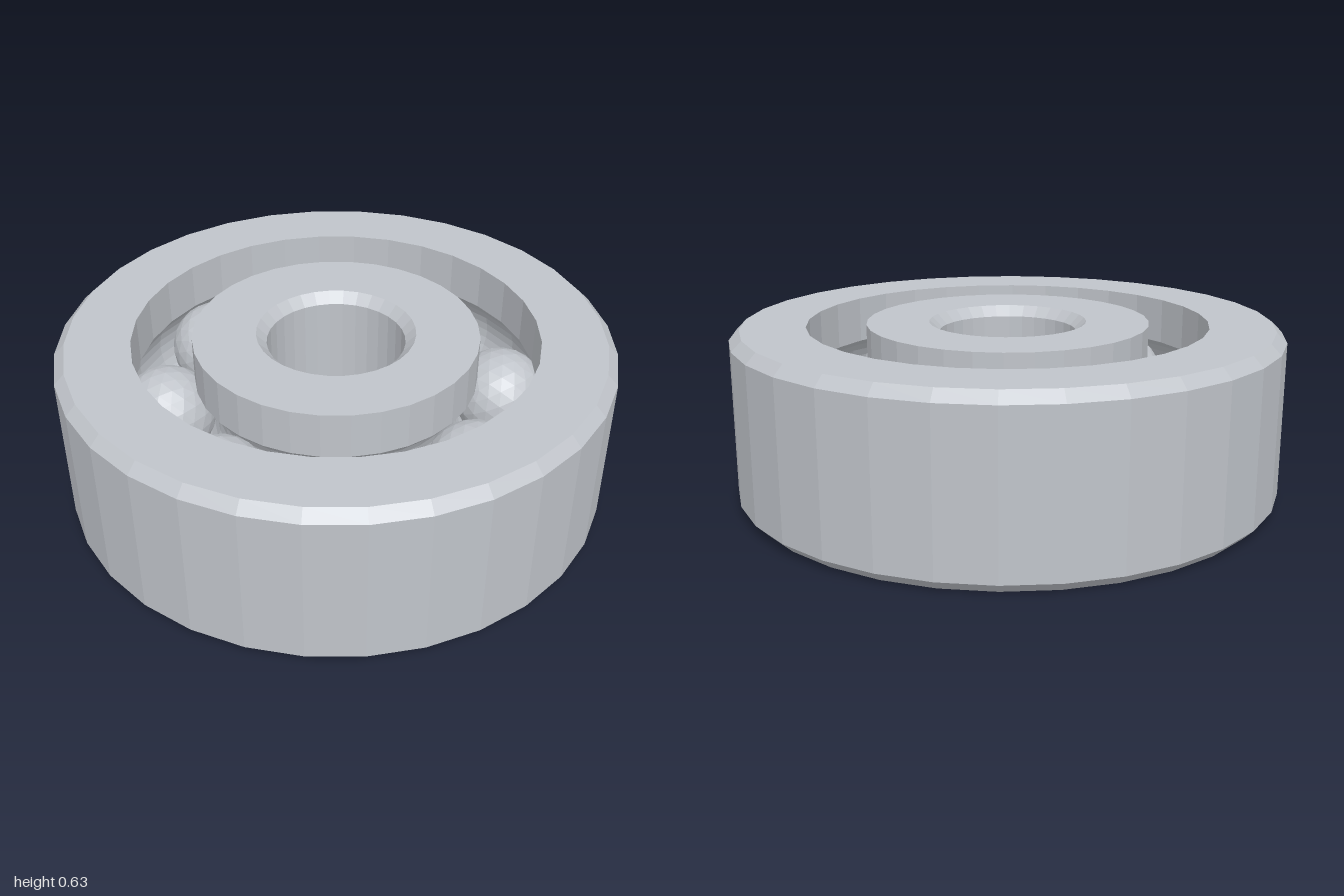
import * as THREE from 'three';

const SIDES = 32;
const HEIGHT = 0.63;
const MID = HEIGHT / 2;
const PITCH = 0.62;          // radius of the circle the balls run on
const BALL = 0.174;
const GROOVE = 0.18;
const CHAMFER = 0.037;

// Gives every triangle its own normal for a faceted look
function faceted(geometry) {
  const g = geometry.index ? geometry.toNonIndexed() : geometry;
  g.computeVertexNormals();
  return g;
}

// Points of the ball groove; wall is the radius of the wall it is cut into
function groove(wall, steps = 10) {
  const half = Math.acos(Math.abs(wall - PITCH) / GROOVE);
  const side = Math.sign(wall - PITCH);
  return Array.from({ length: steps + 1 }, (_, i) => {
    const a = side * (half - (2 * half * i) / steps);
    return [PITCH + side * GROOVE * Math.cos(a), MID + GROOVE * Math.sin(a)];
  });
}

// Revolves a closed profile, listed counter-clockwise as [radius, y]
function ring(name, profile, material) {
  const points = [...profile, profile[0]].map(([r, y]) => new THREE.Vector2(r, y));
  const mesh = new THREE.Mesh(faceted(new THREE.LatheGeometry(points, SIDES)), material);
  mesh.name = name;
  return mesh;
}

export function createModel() {
  const model = new THREE.Group();
  model.name = 'ballBearing';
  const steel = new THREE.MeshStandardMaterial({ color: 0xc0c4ca });
  steel.name = 'steel';

  // Outer ring: chamfered outside, grooved inside
  model.add(ring('outerRing', [
    [0.73, 0], [1 - CHAMFER, 0], [1, CHAMFER], [1, HEIGHT - CHAMFER],
    [1 - CHAMFER, HEIGHT], [0.73, HEIGHT], ...groove(0.73),
  ], steel));

  // Inner ring: grooved outside, chamfered bore
  model.add(ring('innerRing', [
    [0.25, CHAMFER], [0.25 + CHAMFER, 0], [0.515, 0], ...groove(0.515),
    [0.515, HEIGHT], [0.25 + CHAMFER, HEIGHT], [0.25, HEIGHT - CHAMFER],
  ], steel));

  // Eight balls in the race
  const balls = new THREE.Group();
  balls.name = 'balls';
  const ballGeometry = faceted(new THREE.IcosahedronGeometry(BALL, 3));
  for (let i = 0; i < 8; i++) {
    const a = (i * Math.PI) / 4;
    const ball = new THREE.Mesh(ballGeometry, steel);
    ball.name = 'ball';
    ball.position.set(PITCH * Math.sin(a), MID, PITCH * Math.cos(a));
    balls.add(ball);
  }
  model.add(balls);
  return model;
}
